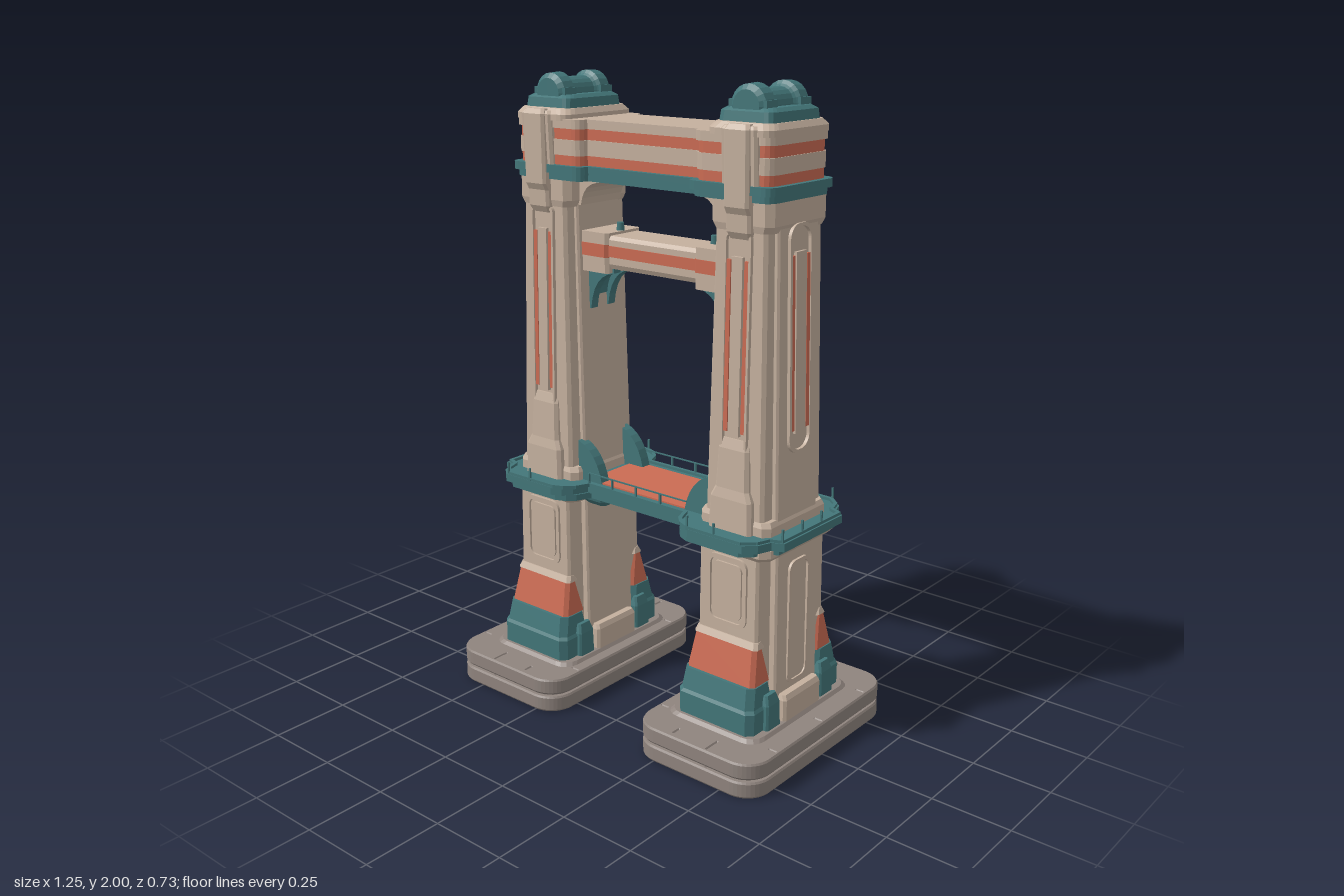
import * as THREE from 'three';

const mat = (name, color) => Object.assign(new THREE.MeshStandardMaterial({ color }), { name });
const stone = mat('sandstone', 0xc4b09e);
const teal = mat('teal', 0x437679);
const orange = mat('orange', 0xca6b53);
const grey = mat('footing grey', 0x8f847e);

function add(parent, name, geo, material, x = 0, y = 0, z = 0) {
  const m = new THREE.Mesh(geo, material);
  m.name = name;
  m.position.set(x, y, z);
  parent.add(m);
  return m;
}
const box = (w, h, d) => new THREE.BoxGeometry(w, h, d);

// Faceted block through rows of [y, halfX, halfZ]; corners cut by r in n steps
function loft(rows, r = 0.015, n = 1) {
  const pos = [], quads = [[1, 1], [-1, 1], [-1, -1], [1, -1]];
  const rings = rows.map(([y, hx, hz]) => quads.flatMap(([sx, sz], q) =>
    Array.from({ length: n + 1 }, (_, j) => {
      const a = (q + j / n) * Math.PI / 2;
      return [sx * (hx - r) + r * Math.cos(a), y, sz * (hz - r) + r * Math.sin(a)];
    })));
  const count = rings[0].length, last = rings.length - 1;
  for (let i = 0; i < count; i++) {
    const k = (i + 1) % count;
    for (let j = 0; j < last; j++) {
      const [a, b, c, d] = [rings[j][i], rings[j][k], rings[j + 1][k], rings[j + 1][i]];
      pos.push(...a, ...d, ...c, ...a, ...c, ...b);
    }
    pos.push(0, rows[0][0], 0, ...rings[0][i], ...rings[0][k]);
    pos.push(0, rows[last][0], 0, ...rings[last][k], ...rings[last][i]);
  }
  const g = new THREE.BufferGeometry();
  g.setAttribute('position', new THREE.Float32BufferAttribute(pos, 3));
  g.computeVertexNormals();
  return g;
}

// Rounded rectangle path, centred on (x, y)
function roundRect(P, w, h, r, x = 0, y = 0) {
  const p = new P(), a = w / 2 - r, b = h / 2 - r;
  p.absarc(x + a, y + b, r, 0, Math.PI / 2);
  p.absarc(x - a, y + b, r, Math.PI / 2, Math.PI);
  p.absarc(x - a, y - b, r, Math.PI, Math.PI * 1.5);
  p.absarc(x + a, y - b, r, Math.PI * 1.5, Math.PI * 2);
  p.closePath();
  return p;
}
const extrude = (shape, depth) =>
  new THREE.ExtrudeGeometry(shape, { depth, bevelEnabled: false, curveSegments: 6 });
function frame(w, h, r, border, depth = 0.009) {
  const s = roundRect(THREE.Shape, w, h, r);
  s.holes.push(roundRect(THREE.Path, w - 2 * border, h - 2 * border, r - border / 2));
  return extrude(s, depth);
}

// Corner bracket filling the angle of two edges; bulge sets concave or convex
function bracket(w, h, depth, convex) {
  const s = new THREE.Shape();
  s.moveTo(0, 0);
  s.lineTo(w, 0);
  if (convex) s.quadraticCurveTo(w * 0.8, h * 0.8, 0, h);
  else {
    s.lineTo(w, h * 0.12);
    s.quadraticCurveTo(w * 0.25, h * 0.2, w * 0.15, h);
    s.lineTo(0, h);
  }
  return extrude(s, depth).translate(0, 0, -depth / 2);
}

// Painted courses shared by the top beam and its tower sleeves
function courses(parent, name, hx, hz, x, r, n) {
  const layers = [
    ['lower ledge', 1.685, 1.705, teal, 0.008], ['upper ledge', 1.705, 1.73, teal, 0.018],
    ['lower stripe', 1.73, 1.76, orange, 0], ['middle course', 1.76, 1.807, stone, 0.003],
    ['upper stripe', 1.807, 1.84, orange, 0], ['top course', 1.84, 1.868, stone, 0.006]];
  for (const [part, y0, y1, m, e] of layers)
    add(parent, `${name} ${part}`, loft([[y0, hx + e, hz + e], [y1, hx + e, hz + e]], r, n), m, x);
}

// Decoration of the front or back of a tower
function dressFace(tower, turn) {
  const f = new THREE.Group();
  f.name = turn ? 'backDressing' : 'frontDressing';
  f.rotation.y = turn;
  tower.add(f);
  add(f, 'lowerPanelFrame', frame(0.145, 0.22, 0.03, 0.012), stone, 0, 0.535, 0.17);
  add(f, 'lowerPanel', extrude(roundRect(THREE.Shape, 0.105, 0.175, 0.02), 0.007), stone, 0, 0.535, 0.17);
  // flared buttress
  add(f, 'buttressPlinth', loft([[0.12, 0.142, 0.07], [0.19, 0.142, 0.07], [0.2, 0.136, 0.064], [0.265, 0.13, 0.05]], 0.02), teal, 0, 0, 0.17);
  add(f, 'buttressBand', loft([[0.265, 0.126, 0.047], [0.375, 0.114, 0.022]], 0.012), orange, 0, 0, 0.163);
  add(f, 'buttressCap', loft([[0.375, 0.118, 0.026], [0.395, 0.112, 0.016]], 0.01), stone, 0, 0, 0.16);
  // long pilaster
  add(f, 'pilasterFoot', loft([[0.72, 0.078, 0.035], [0.82, 0.074, 0.032], [0.85, 0.06, 0.026], [0.97, 0.055, 0.02], [1.0, 0.045, 0.012]], 0.01), stone, 0, 0, 0.14);
  const p = new THREE.Group();
  p.name = 'pilaster';
  p.position.set(0, 1.28, 0.141);
  p.rotation.x = -0.016;
  f.add(p);
  add(p, 'pilasterFrame', frame(0.094, 0.64, 0.02, 0.008, 0.012), stone);
  for (const s of [-1, 1]) add(p, 'pilasterStripe', box(0.014, 0.5, 0.009), orange, s * 0.031, -0.01, 0.005);
  add(p, 'pilasterCore', box(0.038, 0.52, 0.016), stone, 0, -0.01, 0.004);
}

function buildTower(side) {
  const t = new THREE.Group();
  t.name = side > 0 ? 'leftTower' : 'rightTower';
  t.position.x = side * 0.38;
  t.rotation.y = side > 0 ? 0 : Math.PI;

  // slotted two-course footing, local +x points outward
  const plan = roundRect(THREE.Shape, 0.45, 0.72, 0.08);
  const slot = (x, z, w, d) => plan.holes.push(roundRect(THREE.Path, w, d, 0.0025, x, z));
  for (const s of [-1, 1]) {
    slot(-0.083, s * 0.328, 0.008, 0.035);
    slot(0.05, s * 0.325, 0.008, 0.06);
    slot(0.205, s * 0.235, 0.03, 0.007);
    slot(-0.205, s * 0.235, 0.03, 0.007);
  }
  slot(0.205, 0, 0.03, 0.008);
  for (const [i, y] of [0.006, 0.066].entries()) {
    const g = new THREE.ExtrudeGeometry(plan, { depth: 0.04, bevelThickness: 0.006, bevelSize: 0.004, bevelSegments: 1, curveSegments: 5 });
    add(t, i ? 'footingUpper' : 'footingLower', g.rotateX(-Math.PI / 2), grey, 0.016, y);
  }
  add(t, 'footingJoint', loft([[0.045, 0.215, 0.35], [0.07, 0.215, 0.35]], 0.075, 4), grey, 0.016);
  add(t, 'footingStep', loft([[0.11, 0.175, 0.262], [0.122, 0.165, 0.25]], 0.05, 4), grey);

  // shaft: wide core crossed by a deep narrow block
  add(t, 'lowerCore', loft([[0.12, 0.136, 0.108], [0.7, 0.131, 0.108]], 0.006), stone);
  add(t, 'lowerBlock', loft([[0.12, 0.112, 0.175], [0.7, 0.108, 0.17]], 0.008), stone);
  for (const s of [-1, 1]) {
    add(t, 'sideFoot', loft([[0.12, 0.02, 0.095], [0.19, 0.02, 0.095], [0.205, 0.012, 0.09]], 0.008), stone, s * 0.145);
    for (const e of [-1, 1]) add(t, 'plinthReturn', loft([[0.12, 0.02, 0.035], [0.2, 0.018, 0.033], [0.23, 0.008, 0.025]], 0.006), teal, s * 0.138, 0, e * 0.14);
  }
  add(t, 'lowerCornice', loft([[0.655, 0.135, 0.175], [0.67, 0.148, 0.188], [0.695, 0.148, 0.188]], 0.025), stone);
  add(t, 'upperCore', loft([[0.72, 0.124, 0.102], [1.7, 0.102, 0.096]], 0.006), stone);
  add(t, 'upperBlock', loft([[0.72, 0.106, 0.15], [1.7, 0.088, 0.135]], 0.01), stone);
  add(t, 'upperFoot', loft([[0.72, 0.128, 0.156], [0.75, 0.128, 0.156], [0.765, 0.12, 0.15]], 0.02), stone);
  add(t, 'neckMoulding', loft([[1.6, 0.1, 0.138], [1.62, 0.108, 0.143], [1.69, 0.108, 0.143]], 0.02), stone);
  dressFace(t, 0);
  dressFace(t, Math.PI);

  // outer side panels
  const lower = add(t, 'lowerSideFrame', frame(0.105, 0.4, 0.03, 0.01), stone, 0.131, 0.42, 0);
  lower.rotation.y = Math.PI / 2;
  const o = new THREE.Group();
  o.name = 'sidePanel';
  o.position.set(0.1105, 1.285, 0);
  o.rotation.set(0, Math.PI / 2, 0.0224);
  o.rotation.order = 'ZYX';
  t.add(o);
  add(o, 'sideFrame', frame(0.11, 0.67, 0.045, 0.01, 0.011), stone);
  for (const s of [-1, 1]) add(o, 'sideStripe', box(0.016, 0.51, 0.009), orange, s * 0.037, -0.01, 0.004);
  add(o, 'sideCore', box(0.05, 0.53, 0.014), stone, 0, -0.01, 0.003);

  // sleeve, cap and clasps
  courses(t, 'sleeve', 0.132, 0.142, -0.03, 0.035, 4);
  add(t, 'capRing', loft([[1.862, 0.113, 0.155], [1.88, 0.113, 0.155], [1.897, 0.1, 0.14]], 0.04, 4), stone, -0.005);
  add(t, 'claspStrap', loft([[1.58, 0.038, 0.146], [1.6, 0.043, 0.158], [1.65, 0.043, 0.16], [1.67, 0.043, 0.171], [1.88, 0.043, 0.173], [1.895, 0.036, 0.163]], 0.008), stone, 0.005);
  add(t, 'claspShoulder', loft([[1.73, 0.062, 0.155], [1.88, 0.062, 0.162], [1.89, 0.055, 0.155]], 0.008), stone, 0.005);
  add(t, 'roofPlinth', loft([[1.89, 0.095, 0.125], [1.925, 0.092, 0.12], [1.935, 0.078, 0.105]], 0.025, 3), teal, -0.005);
  const profile = [[0, -0.113], [0.045, -0.113], [0.06, -0.1], [0.062, -0.06], [0.052, -0.052], [0.046, -0.045],
    [0.046, 0.045], [0.052, 0.052], [0.062, 0.06], [0.06, 0.1], [0.045, 0.113], [0, 0.113]];
  const drum = new THREE.LatheGeometry(profile.map(p => new THREE.Vector2(...p)), 20).toNonIndexed();
  drum.computeVertexNormals();
  add(t, 'roofDrum', drum.rotateX(Math.PI / 2), teal, -0.005, 1.938);
  for (const s of [-1, 1]) add(t, 'drumCradle', box(0.13, 0.03, 0.05), teal, -0.005, 1.94, s * 0.08);

  // brackets toward the other tower: flipped to local -x
  const inner = new THREE.Group();
  inner.name = 'innerBrackets';
  inner.rotation.y = Math.PI;
  t.add(inner);
  for (const s of [-1, 1]) {
    add(inner, 'deckFin', bracket(0.1, 0.13, 0.035, true), teal, 0.11, 0.722, s * 0.1);
    add(inner, 'beamBracket', bracket(0.115, -0.14, 0.03, false), teal, 0.1, 1.415, s * 0.04).material.side = THREE.DoubleSide;
  }
  add(inner, 'bracketWeb', bracket(0.085, -0.1, 0.07, false), teal, 0.1, 1.415);
  add(inner, 'topGusset', bracket(0.09, -0.085, 0.18, false), stone, 0.1, 1.69).material.side = THREE.DoubleSide;
  add(inner, 'deckCorbel', loft([[0.64, 0.035, 0.1], [0.66, 0.05, 0.12], [0.695, 0.05, 0.13]], 0.01), teal, 0.165);
  add(inner, 'beamSocket', loft([[1.4, 0.06, 0.08], [1.525, 0.06, 0.08]], 0.01), stone, 0.15);
  add(inner, 'socketStripe', loft([[1.45, 0.06, 0.083], [1.49, 0.06, 0.083]], 0.01), orange, 0.15);
  add(inner, 'beamKnob', new THREE.CylinderGeometry(0.011, 0.013, 0.03, 10), teal, 0.195, 1.535);
  return t;
}

function buildDeck() {
  const deck = new THREE.Group();
  deck.name = 'deck';
  const q = [[0.2, 0.15], [0.22, 0.2], [0.245, 0.225], [0.28, 0.24], [0.48, 0.24], [0.515, 0.21], [0.53, 0.165], [0.565, 0.15]];
  const flip = (sx, sz, rev) => (rev ? [...q].reverse() : q).map(([x, z]) => new THREE.Vector2(sx * x, sz * z));
  const outline = [...flip(1, 1), ...flip(1, -1, true), ...flip(-1, -1), ...flip(-1, 1, true)];
  const slab = (k, h) => extrude(new THREE.Shape(outline.map(p => p.clone().multiplyScalar(k))), h).rotateX(-Math.PI / 2);
  add(deck, 'deckSlab', slab(1, 0.025), teal, 0, 0.698);
  add(deck, 'deckUnderside', slab(0.96, 0.02), teal, 0, 0.68);
  add(deck, 'walkway', box(0.46, 0.008, 0.23), orange, 0, 0.724);
  add(deck, 'bridgeBelly', loft([[0.655, 0.25, 0.08], [0.67, 0.25, 0.11], [0.69, 0.25, 0.12]], 0.005), teal);
  // kerbs and rail posts follow the outline
  outline.forEach((a, i) => {
    const b = outline[(i + 1) % outline.length], len = a.distanceTo(b);
    const kerb = add(deck, 'kerb', box(len, 0.012, 0.012), teal, (a.x + b.x) * 0.49, 0.726, (a.y + b.y) * 0.485);
    kerb.rotation.y = -Math.atan2(b.y - a.y, b.x - a.x);
    const n = Math.max(1, Math.round(len / 0.095));
    for (let j = 0; j < n; j++) {
      const p = a.clone().lerp(b, j / n).multiplyScalar(0.985);
      if (len > 0.06) add(deck, 'railPost', box(0.006, 0.045, 0.006), teal, p.x, 0.742, p.y);
    }
  });
  for (const s of [-1, 1]) add(deck, 'handrail', box(0.4, 0.004, 0.004), teal, 0, 0.764, s * 0.147);
  return deck;
}

export function createModel() {
  const model = new THREE.Group();
  model.name = 'twinTowerGate';
  model.add(buildTower(1), buildTower(-1), buildDeck());
  // top beam and lower tie beam
  courses(model, 'topBeam', 0.27, 0.108, 0, 0.006, 1);
  add(model, 'tieBeam', loft([[1.415, 0.29, 0.062], [1.43, 0.29, 0.07], [1.505, 0.29, 0.07], [1.517, 0.29, 0.062]], 0.004), stone);
  add(model, 'tieBeamStripe', box(0.5, 0.034, 0.146), orange, 0, 1.47);
  return model;
}
